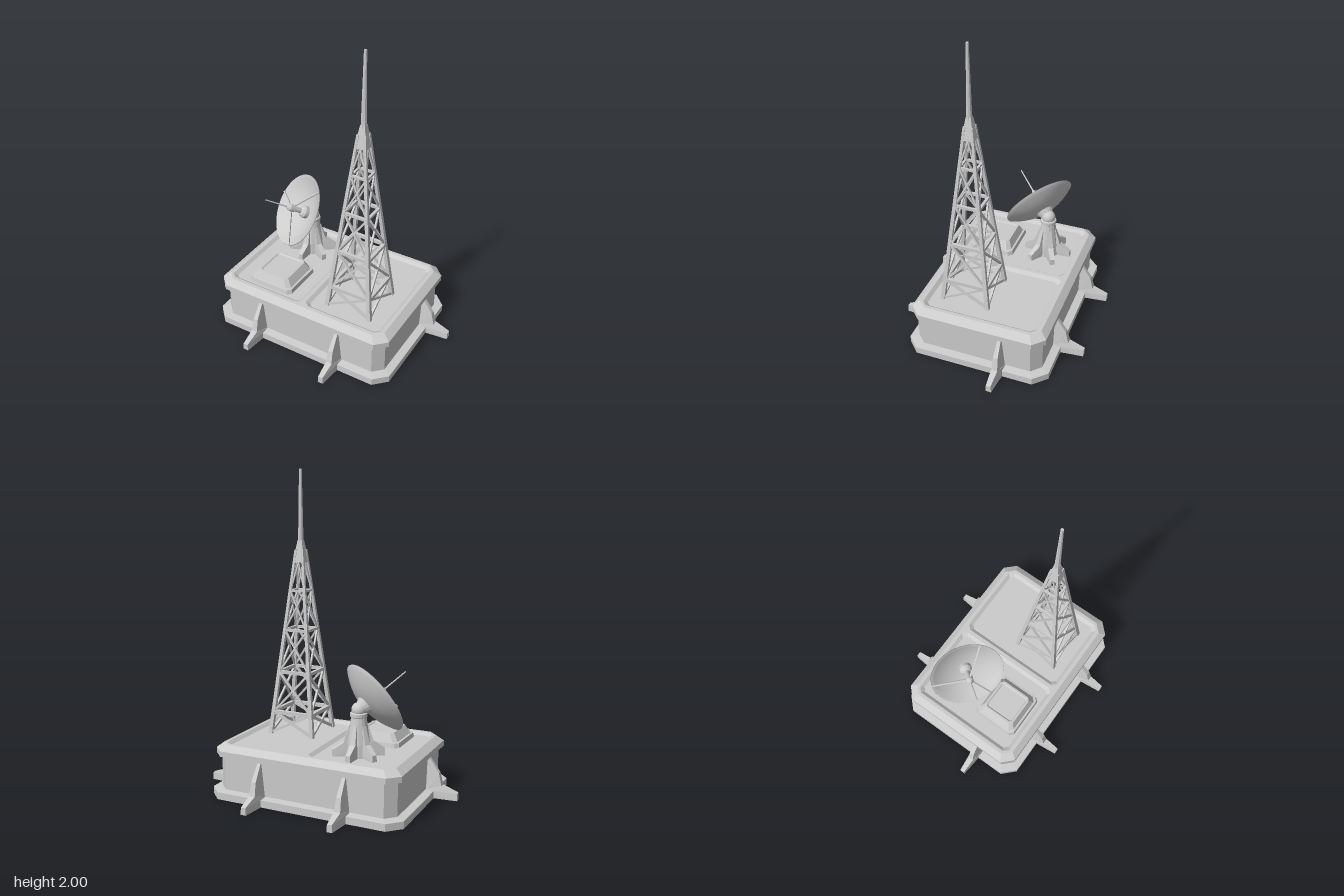
import * as THREE from 'three';
import { ConvexGeometry } from 'three/addons/geometries/ConvexGeometry.js';

const flat = new THREE.MeshStandardMaterial({ color: 0xcccccc, flatShading: true, side: THREE.DoubleSide });
const smooth = new THREE.MeshStandardMaterial({ color: 0xcccccc, side: THREE.DoubleSide });
const V = (x, y, z) => new THREE.Vector3(x, y, z);
const UP = V(0, 1, 0);

function add(parent, name, geometry, material = flat) {
  const mesh = new THREE.Mesh(geometry, material);
  mesh.name = name;
  parent.add(mesh);
  return mesh;
}

function group(parent, name, x = 0, y = 0, z = 0) {
  const g = new THREE.Group();
  g.name = name;
  g.position.set(x, y, z);
  parent.add(g);
  return g;
}

// Rectangle with cut corners, counter-clockwise seen from above
const octagon = (hx, hz, c) => [
  [hx, hz - c], [hx, c - hz], [hx - c, -hz], [c - hx, -hz],
  [-hx, c - hz], [-hx, hz - c], [c - hx, hz], [hx - c, hz],
];

// Skin through cut-corner rings [halfX, halfZ, cut, y], optionally closed at the last ring
function loft(rings, cap) {
  const loops = rings.map(([hx, hz, c, y]) => octagon(hx, hz, c).map(([x, z]) => V(x, y, z)));
  const pts = [];
  for (let i = 0; i < 8; i++) {
    const j = (i + 1) % 8;
    for (let k = 0; k + 1 < loops.length; k++) {
      const [a, b, c, d] = [loops[k][i], loops[k][j], loops[k + 1][j], loops[k + 1][i]];
      pts.push(a, b, c, a, c, d);
    }
    const top = loops[loops.length - 1];
    if (cap) pts.push(V(0, top[0].y, 0), top[i], top[j]);
  }
  const g = new THREE.BufferGeometry().setFromPoints(pts);
  g.computeVertexNormals();
  return g;
}

// Straight tapered bar between two points
function beam(parent, name, a, b, w0, w1 = w0, sides = 4) {
  const d = b.clone().sub(a);
  const g = new THREE.CylinderGeometry(w1 * 0.707, w0 * 0.707, d.length(), sides);
  if (sides === 4) g.rotateY(Math.PI / 4);
  const m = add(parent, name, g);
  m.position.copy(a).add(b).multiplyScalar(0.5);
  m.quaternion.setFromUnitVectors(UP, d.normalize());
  return m;
}

// Buttress pointing along +z: a tall rib and a low foot, profile as [reach, height]
function buttress(parent, name, [top, shoulder, ankle, toe], root, wide, thin) {
  const g = group(parent, name);
  const pair = (w, y, z) => [V(w, y, z), V(-w, y, z)];
  add(g, 'rib', new ConvexGeometry([
    ...pair(wide, 0, root), ...pair(thin * 0.7, top[1], root), ...pair(thin * 0.7, top[1], top[0]),
    ...pair(thin, shoulder[1], shoulder[0]), ...pair(thin * 1.3, ankle[1], ankle[0]), ...pair(thin * 1.6, 0, ankle[0]),
  ]));
  add(g, 'foot', new ConvexGeometry([
    ...pair(wide, 0, root), ...pair(wide, ankle[1] * 0.6, root), ...pair(thin * 1.3, ankle[1], ankle[0]),
    ...pair(thin, toe[1], toe[0]), ...pair(thin * 1.2, 0, toe[0]),
  ]));
  return g;
}

function buildBase(root) {
  const base = group(root, 'base');
  add(base, 'housing', loft([
    [0.635, 0.465, 0.08, 0], [0.635, 0.465, 0.08, 0.045], [0.585, 0.415, 0.06, 0.052],
    [0.585, 0.415, 0.06, 0.265], [0.615, 0.44, 0.07, 0.265], [0.615, 0.44, 0.07, 0.30], [0.57, 0.40, 0.055, 0.335],
  ]));

  // Roof with two sunken panels
  const toPath = (pts, dx = 0) => pts.map(([x, z]) => new THREE.Vector2(x + dx, -z));
  const roof = new THREE.Shape(toPath(octagon(0.57, 0.40, 0.055)));
  for (const s of [-1, 1]) {
    roof.holes.push(new THREE.Path(toPath(octagon(0.267, 0.375, 0.03), s * 0.28)));
    const panel = add(base, 'sunkenPanel', loft([[0.267, 0.375, 0.03, 0.335], [0.245, 0.353, 0.025, 0.317]], true));
    panel.position.x = s * 0.28;
  }
  add(base, 'roof', new THREE.ShapeGeometry(roof).rotateX(-Math.PI / 2)).position.y = 0.335;

  // Buttresses around the walls: [x, z, turn]
  const profile = [[0.005, 0.26], [0.075, 0.16], [0.095, 0.08], [0.195, 0.045]];
  const places = [
    [-0.28, 0.415, 0], [0.28, 0.415, 0], [-0.28, -0.415, Math.PI], [0.28, -0.415, Math.PI],
    [0.585, -0.16, Math.PI / 2], [-0.585, 0.16, -Math.PI / 2],
  ];
  for (const [x, z, turn] of places) {
    const b = buttress(base, 'buttress', profile, -0.02, 0.04, 0.015);
    b.position.set(x, 0, z);
    b.rotation.y = turn;
  }
}

function buildTower(root) {
  const tower = group(root, 'latticeTower', 0.28, 0, 0.13);
  const half = (y) => 0.147 - (y - 0.335) * 0.107;
  const corner = (i, y) => {
    const h = half(y);
    return V([1, -1, -1, 1][i % 4] * h, y, [1, 1, -1, -1][i % 4] * h);
  };
  const levels = [0.325, 0.46, 0.72, 0.99, 1.24, 1.42];
  for (let i = 0; i < 4; i++) {
    beam(tower, 'towerLeg', corner(i, 0.317), corner(i, 1.5), 0.026, 0.016);
    for (let k = 0; k < 5; k++) {
      const [lo, hi] = [levels[k], levels[k + 1]];
      const w = 0.015 - k * 0.0015;
      if (k > 0) beam(tower, 'crossbar', corner(i, lo), corner(i + 1, lo), 0.026 - k * 0.003);
      if (k < 4) {
        beam(tower, 'brace', corner(i, lo), corner(i + 1, hi), w);
        beam(tower, 'brace', corner(i + 1, lo), corner(i, hi), w);
      } else {
        const peak = corner(i, hi).lerp(corner(i + 1, hi), 0.5);
        beam(tower, 'brace', corner(i, lo), peak, w);
        beam(tower, 'brace', corner(i + 1, lo), peak, w);
      }
    }
  }
  beam(tower, 'towerCap', V(0, 1.42, 0), V(0, 1.56, 0), 0.078, 0.03);
  beam(tower, 'mast', V(0, 1.54, 0), V(0, 2, 0), 0.026, 0.013, 8);
}

function buildDish(root) {
  const dish = group(root, 'dishAntenna');

  // Pedestal with six spreading feet and a ball joint
  const pedestal = group(dish, 'pedestal', -0.265, 0.317, -0.18);
  const column = [[0.075, 0], [0.07, 0.08], [0.046, 0.235], [0.052, 0.24], [0.052, 0.26], [0.042, 0.265]];
  add(pedestal, 'column', new THREE.LatheGeometry(column.map(([r, y]) => new THREE.Vector2(r, y)), 16), flat);
  add(pedestal, 'ballJoint', new THREE.SphereGeometry(0.045, 20, 14), smooth).position.y = 0.28;
  for (let i = 0; i < 6; i++) {
    const foot = buttress(pedestal, 'pedestalFoot',
      [[0.055, 0.19], [0.075, 0.12], [0.09, 0.085], [0.157, 0.04]], 0.03, 0.026, 0.014);
    foot.rotation.y = i * Math.PI / 3;
  }

  // Reflector, local +y along its axis, rim plane at y = 0
  const axis = V(-0.5, 0.52, 0.69).normalize();
  const centre = V(-0.33, 0.66, -0.09);
  const head = group(dish, 'dishHead', ...centre.toArray());
  head.quaternion.setFromUnitVectors(UP, axis);
  const R = 0.243, depth = 0.08, bowl = [];
  for (let i = 0; i <= 10; i++) bowl.push(new THREE.Vector2(R * i / 10, depth * ((i / 10) ** 2 - 1) - 0.006));
  for (let i = 10; i >= 0; i--) bowl.push(new THREE.Vector2((R - 0.003) * i / 10, depth * ((i / 10) ** 2 - 1)));
  add(head, 'reflector', new THREE.LatheGeometry(bowl, 40), smooth);
  const feed = [[0.042, -0.085], [0.042, -0.05], [0.03, -0.035], [0.017, -0.028], [0.017, 0.02], [0.025, 0.025],
    [0.025, 0.06], [0.014, 0.075], [0.005, 0.085], [0.004, 0.25], [0, 0.25]];
  add(head, 'feedHorn', new THREE.LatheGeometry(feed.map(([r, y]) => new THREE.Vector2(r, y)), 16));
  beam(head, 'dishMount', V(0, -0.125, 0), V(0, -0.08, 0), 0.05, 0.085, 16);

  // Three struts from the rim to the feed
  const spoke = V(0.16, 0.175, -0.016).setLength(R);
  const collar = centre.clone().addScaledVector(axis, 0.045);
  for (let i = 0; i < 3; i++) {
    const rim = spoke.clone().applyAxisAngle(axis, i * Math.PI * 2 / 3).add(centre);
    beam(dish, 'feedStrut', rim, collar, 0.01);
  }
}

export function createModel() {
  const root = new THREE.Group();
  root.name = 'communicationsStation';
  buildBase(root);
  buildTower(root);
  buildDish(root);

  // Stepped hatch on the roof in front of the dish
  const hatch = add(root, 'roofHatch', loft([
    [0.16, 0.155, 0.025, 0.317], [0.155, 0.15, 0.025, 0.345], [0.142, 0.137, 0.025, 0.347],
    [0.11, 0.115, 0.02, 0.398], [0.098, 0.103, 0.012, 0.398], [0.09, 0.095, 0.01, 0.39],
  ], true));
  hatch.position.set(-0.275, 0, 0.18);
  return root;
}
